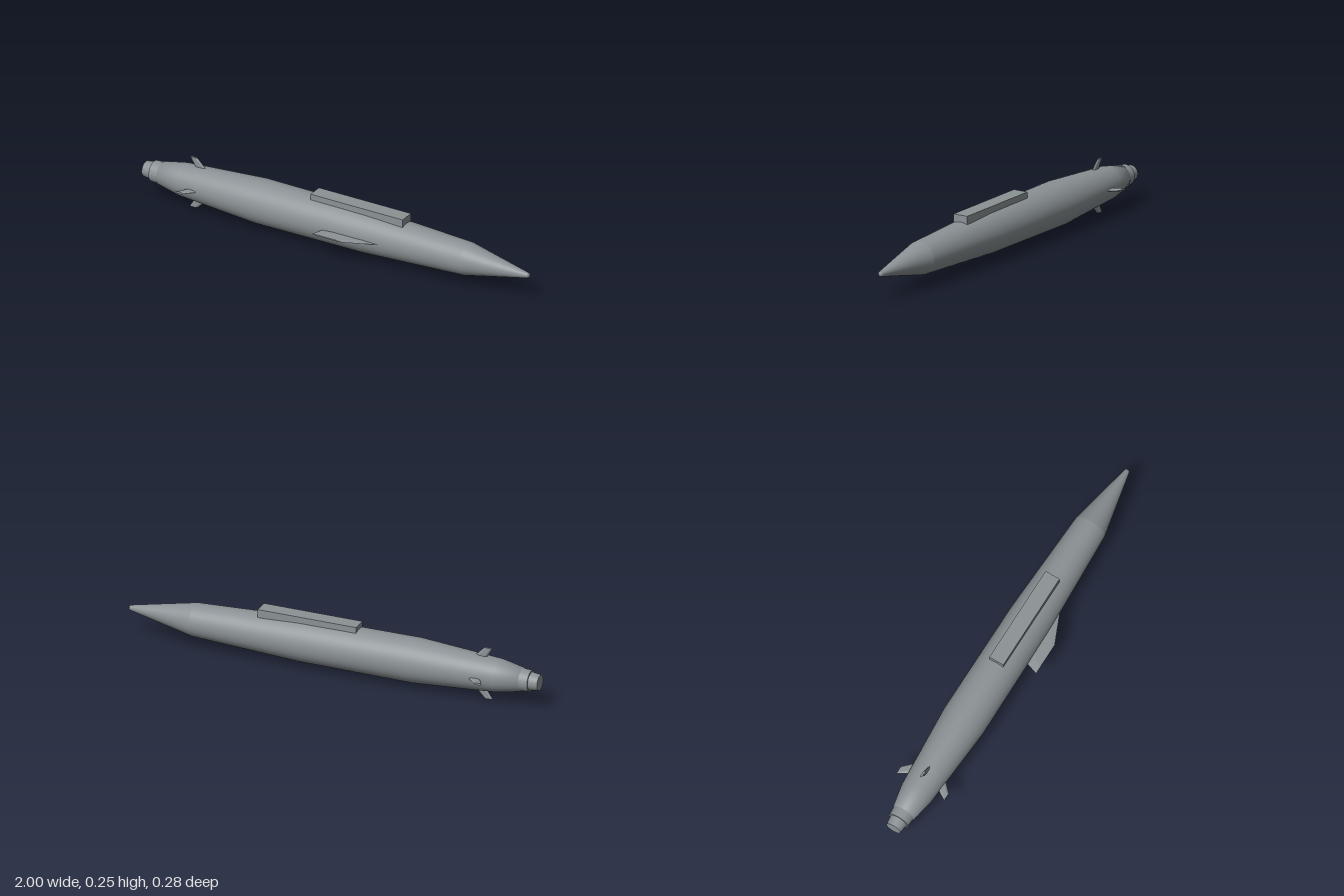
import * as THREE from 'three';
import { ConvexGeometry } from 'three/addons/geometries/ConvexGeometry.js';

const AXIS_Y = 0.125, AXIS_Z = -0.017;

// Body of revolution along x; each profile point is [x, radius]
function turned(name, profile, material) {
  const geometry = new THREE.LatheGeometry(profile.map(([x, r]) => new THREE.Vector2(r, x)), 48);
  geometry.rotateZ(-Math.PI / 2);
  const mesh = new THREE.Mesh(geometry, material);
  mesh.name = name;
  return mesh;
}

// Tapered blade growing along +z; each station is [z, rearX, frontX, thickness]
function blade(name, stations, material) {
  const points = [];
  for (const [z, rear, front, thickness] of stations) {
    const chord = front - rear;
    points.push(new THREE.Vector3(rear, 0, z), new THREE.Vector3(front, 0, z));
    for (const f of [0.2, 0.75]) {
      for (const side of [-1, 1]) {
        points.push(new THREE.Vector3(rear + chord * f, side * thickness / 2, z));
      }
    }
  }
  const mesh = new THREE.Mesh(new ConvexGeometry(points), material);
  mesh.name = name;
  return mesh;
}

export function createModel() {
  const model = new THREE.Group();
  model.name = 'finnedStorePod';
  const grey = new THREE.MeshStandardMaterial({ color: 0x8b9295 });
  grey.name = 'hull grey';

  const pod = new THREE.Group();
  pod.name = 'pod';
  pod.position.set(0, AXIS_Y, AXIS_Z);
  model.add(pod);

  // Hull, with the tail collar and nozzle stepped down behind it
  pod.add(
    turned('hull', [[-0.914, 0], [-0.914, 0.055], [-0.8, 0.077], [-0.4, 0.104],
      [0.16, 0.101], [0.68, 0.077]], grey),
    turned('noseCone', [[0.68, 0.077], [0.995, 0.012]], grey),
    turned('noseTip', [[0.995, 0.012], [1, 0.008], [1, 0]], grey),
    turned('tailCollar', [[-0.957, 0.049], [-0.91, 0.052]], grey),
    turned('collarRear', [[-0.957, 0], [-0.957, 0.049]], grey),
    turned('nozzle', [[-1, 0.036], [-0.955, 0.042]], grey),
    turned('nozzleRear', [[-1, 0], [-1, 0.036]], grey),
  );

  // Four swept tail fins
  for (let i = 0; i < 4; i++) {
    const fin = blade('tailFin', [[0.07, -0.735, -0.675, 0.011], [0.125, -0.77, -0.73, 0.01]], grey);
    fin.rotation.x = i * Math.PI / 2;
    pod.add(fin);
  }

  // Single side wing on the front face
  pod.add(blade('sideWing', [[0.085, -0.015, 0.29, 0.009], [0.158, -0.04, 0.12, 0.006]], grey));

  // Mounting rail along the top
  const rail = new THREE.Mesh(new THREE.BoxGeometry(0.48, 0.039, 0.073), grey);
  rail.name = 'mountingRail';
  rail.position.set(0.12, 0.1045, -0.001);
  pod.add(rail);

  return model;
}
